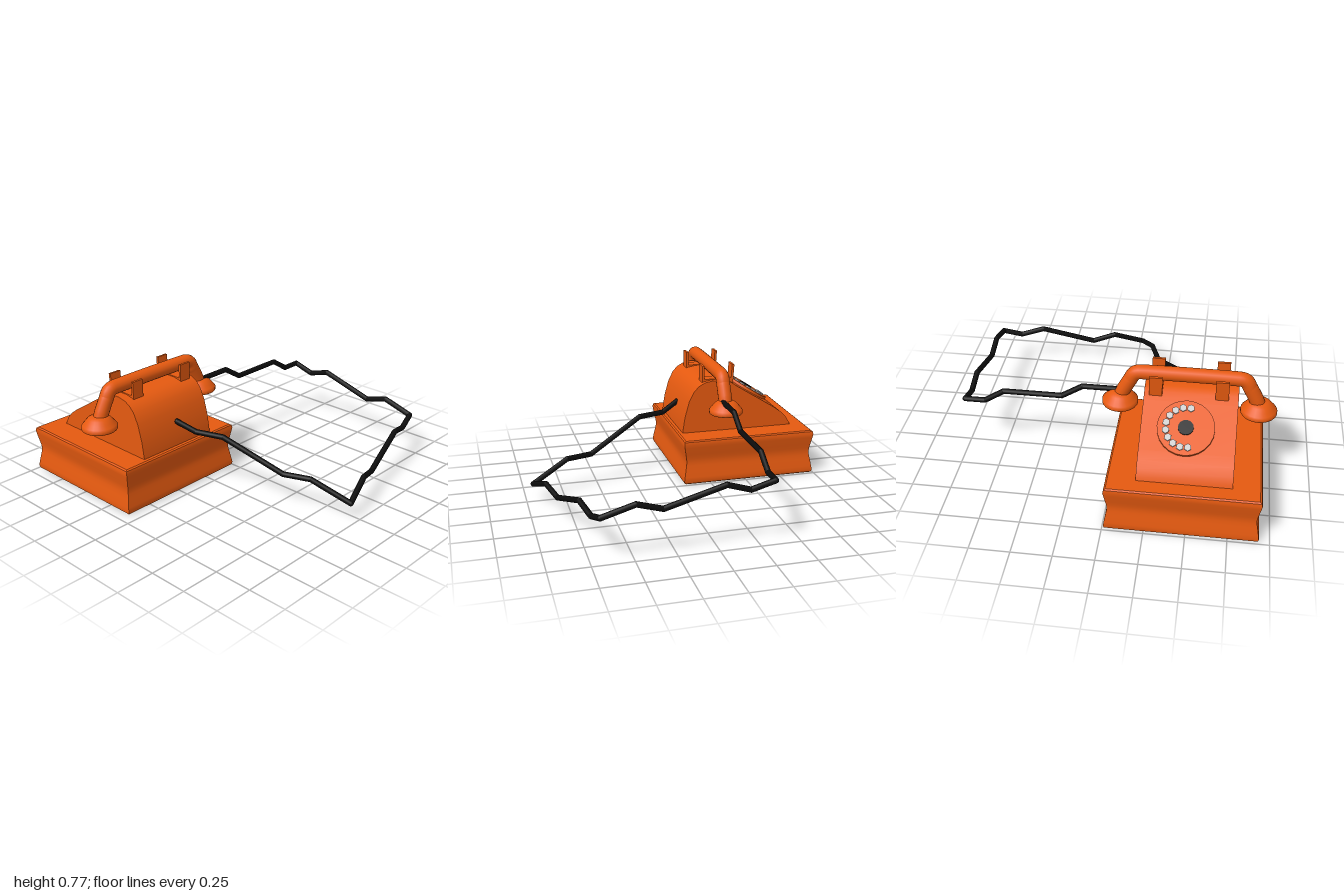
import * as THREE from 'three';
import { toCreasedNormals } from 'three/addons/utils/BufferGeometryUtils.js';

const orange = new THREE.MeshStandardMaterial({ color: 0xe65a10 });
const black = new THREE.MeshStandardMaterial({ color: 0x0c0c0c });
const grey = new THREE.MeshStandardMaterial({ color: 0xcccccc });
const CX = -0.465; // middle of the telephone in x

const v2 = ([x, y]) => new THREE.Vector2(x, y);

function part(parent, name, geometry, material, x = 0, y = 0, z = 0) {
  const mesh = new THREE.Mesh(geometry, material);
  mesh.name = name;
  mesh.position.set(x, y, z);
  parent.add(mesh);
  return mesh;
}

// Square plinth with waisted sides: a four-sided lathe
function baseGeometry() {
  const half = [[0.449, 0], [0.459, 0.007], [0.463, 0.025], [0.459, 0.05], [0.45, 0.1], [0.444, 0.13], [0.442, 0.155]];
  const upper = half.slice(0, -1).reverse().map(([r, y]) => [r, 0.31 - y]);
  const profile = [[0, 0], ...half, ...upper, [0, 0.31]].map(([r, y]) => v2([r * Math.SQRT2, y]));
  const geometry = new THREE.LatheGeometry(profile, 4);
  geometry.rotateY(Math.PI / 4);
  return toCreasedNormals(geometry, 0.6);
}

// Housing: side profile (z, y) extruded across x
function bodyGeometry() {
  const shape = new THREE.Shape([
    [-0.1, 0.3], [-0.1, 0.32], [-0.115, 0.42], [-0.145, 0.53], [-0.18, 0.6], [-0.215, 0.635], [-0.255, 0.657],
    [-0.31, 0.667], [-0.4, 0.667], [-0.44, 0.65], [-0.49, 0.615], [-0.76, 0.446], [-0.81, 0.41],
    [-0.85, 0.37], [-0.875, 0.33], [-0.887, 0.3],
  ].map(v2));
  const geometry = new THREE.ExtrudeGeometry(shape, { depth: 0.57, bevelEnabled: false });
  geometry.rotateY(-Math.PI / 2);
  geometry.translate(-0.19, 0, 0);
  return toCreasedNormals(geometry, 0.5);
}

// Sloping dial with a hub and a ring of ten studs
function addDial(parent) {
  const dial = new THREE.Group();
  dial.name = 'dial';
  dial.position.set(-0.46, 0.543, -0.641);
  dial.rotation.x = -0.56;
  parent.add(dial);
  part(dial, 'dialDisc', toCreasedNormals(new THREE.CylinderGeometry(0.173, 0.173, 0.04, 24), 0.6), orange, 0, -0.02, 0);
  part(dial, 'dialHub', new THREE.CylinderGeometry(0.047, 0.047, 0.01, 16), black, 0, 0.002, 0);
  const stud = new THREE.CylinderGeometry(0.023, 0.023, 0.012, 6);
  for (let i = 0; i < 10; i++) {
    const a = THREE.MathUtils.degToRad(-100 + (i * 200) / 9);
    part(dial, 'dialStud', stud, grey, 0.121 * Math.cos(a), 0.002, 0.125 * Math.sin(a));
  }
}

// Two U-shaped rests with a prong before and behind the handset
function addCradle(parent) {
  const cradle = new THREE.Group();
  cradle.name = 'cradle';
  parent.add(cradle);
  for (const x of [-0.66, -0.26]) {
    part(cradle, 'cradleFloor', new THREE.BoxGeometry(0.08, 0.03, 0.2), orange, x, 0.658, -0.355);
    for (const s of [1, -1]) {
      const prong = part(cradle, 'cradleProng', new THREE.BoxGeometry(0.08, 0.135, 0.016), orange, x, 0.698, -0.357 + s * 0.104);
      prong.rotation.x = s < 0 ? -0.06 : 0;
    }
  }
}

// Handset: bent grip with a flared cup at each end
function addHandset(parent) {
  const handset = new THREE.Group();
  handset.name = 'handset';
  handset.position.set(-0.46, 0, -0.355);
  parent.add(handset);
  const arm = [[0.428, 0.53], [0.405, 0.59], [0.365, 0.665], [0.308, 0.722]];
  const points = [...arm.map(([x, y]) => [-x, y]), ...arm.slice().reverse()].map(([x, y]) => new THREE.Vector3(x, y, 0));
  const path = new THREE.CatmullRomCurve3(points, false, 'catmullrom', 0.2);
  part(handset, 'handsetGrip', new THREE.TubeGeometry(path, 80, 0.046, 16), orange);

  const cup = toCreasedNormals(new THREE.LatheGeometry([
    [0, 0.485], [0.108, 0.485], [0.113, 0.491], [0.113, 0.509], [0.106, 0.518],
    [0.09, 0.537], [0.072, 0.558], [0.052, 0.57], [0, 0.574],
  ].map(v2), 24), 0.7);
  for (const s of [-1, 1]) part(handset, s < 0 ? 'earCup' : 'mouthCup', cup, orange, s * 0.429, 0, 0);
}

// Kinked cord: straight rods with a ball at each bend
function addCord(parent) {
  const cord = new THREE.Group();
  cord.name = 'cord';
  parent.add(cord);
  const r = 0.018;
  const points = [
    [-0.455, 0.46, -0.125], [-0.4, 0.405, -0.01], [-0.34, 0.405, 0.17], [-0.19, 0.22, 0.54], [-0.13, 0.223, 0.71],
    [-0.035, 0.108, 0.95], [0.175, 0.185, 0.89], [0.33, 0.15, 0.84], [0.695, 0.275, 0.76], [0.85, 0.24, 0.72],
    [0.98, 0.28, 0.69], [0.98, 0.34, 0.487], [0.98, 0.295, 0.33], [0.98, 0.4, -0.04], [0.98, 0.355, -0.185],
    [0.98, 0.397, -0.333], [0.85, 0.397, -0.333], [0.72, 0.48, -0.333], [0.345, 0.48, -0.333],
    [0.21, 0.565, -0.333], [-0.03, 0.565, -0.333],
  ].map((p) => new THREE.Vector3(...p));
  const up = new THREE.Vector3(0, 1, 0);
  const joint = new THREE.SphereGeometry(r, 10, 8);
  points.forEach((p, i) => {
    part(cord, 'cordJoint', joint, black, p.x, p.y, p.z);
    if (i === 0) return;
    const span = p.clone().sub(points[i - 1]);
    const rod = part(cord, 'cordRod', new THREE.CylinderGeometry(r, r, span.length(), 10), black);
    rod.position.copy(p).addScaledVector(span, -0.5);
    rod.quaternion.setFromUnitVectors(up, span.normalize());
  });
}

export function createModel() {
  const model = new THREE.Group();
  model.name = 'telephone';
  part(model, 'base', baseGeometry(), orange, CX - 0.007, 0, -0.527);
  part(model, 'body', bodyGeometry(), orange);
  addDial(model);
  addCradle(model);
  addHandset(model);
  addCord(model);
  return model;
}
